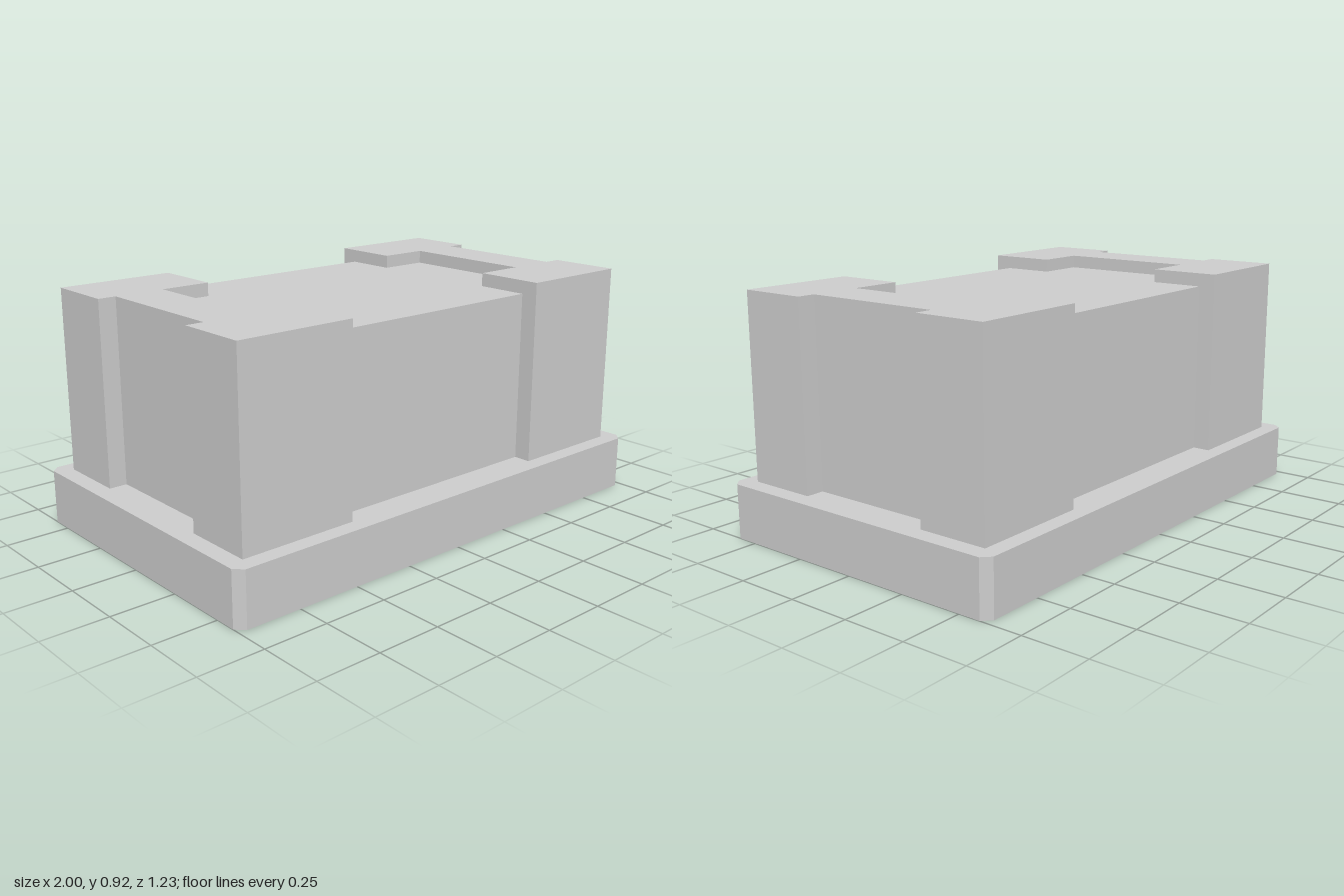
import * as THREE from 'three';

const material = new THREE.MeshStandardMaterial({ color: 0xcccccc, flatShading: true });

// Upright prism from a plan outline of [x, z] points
function prism(name, outline, bottom, top) {
  const shape = new THREE.Shape(outline.map(([x, z]) => new THREE.Vector2(x, -z)));
  const geometry = new THREE.ExtrudeGeometry(shape, { depth: top - bottom, bevelEnabled: false });
  geometry.rotateX(-Math.PI / 2).translate(0, bottom, 0);
  const mesh = new THREE.Mesh(geometry, material);
  mesh.name = name;
  return mesh;
}

export function createModel() {
  const group = new THREE.Group();
  group.name = 'chipComponent';
  const baseTop = 0.21;

  // Base plate with small chamfered corners
  const X = 1, Z = 0.617, c = 0.032;
  group.add(prism('basePlate', [
    [X - c, Z], [X, Z - c], [X, c - Z], [X - c, -Z],
    [c - X, -Z], [-X, c - Z], [-X, Z - c], [c - X, Z],
  ], 0, baseTop));

  // Main body, its ends sunk into the end caps
  const bodyHeight = 0.873 - baseTop;
  const body = new THREE.Mesh(new THREE.BoxGeometry(1.5, bodyHeight, 0.968), material);
  body.name = 'body';
  body.position.y = baseTop + bodyHeight / 2;
  group.add(body);

  // I-shaped end caps, mirrored left and right
  const half = [[0.465, 0.552], [0.932, 0.552], [0.932, 0.276], [0.862, 0.276]];
  const inner = [[0.665, 0.276], [0.465, 0.276]];
  const flip = (points) => points.map(([x, z]) => [x, -z]).reverse();
  const outline = [...half, ...flip(half), ...flip(inner), ...inner];
  for (const [name, side] of [['leftEndCap', 1], ['rightEndCap', -1]]) {
    group.add(prism(name, outline.map(([x, z]) => [x * side, z]), baseTop, 0.925));
  }
  return group;
}
